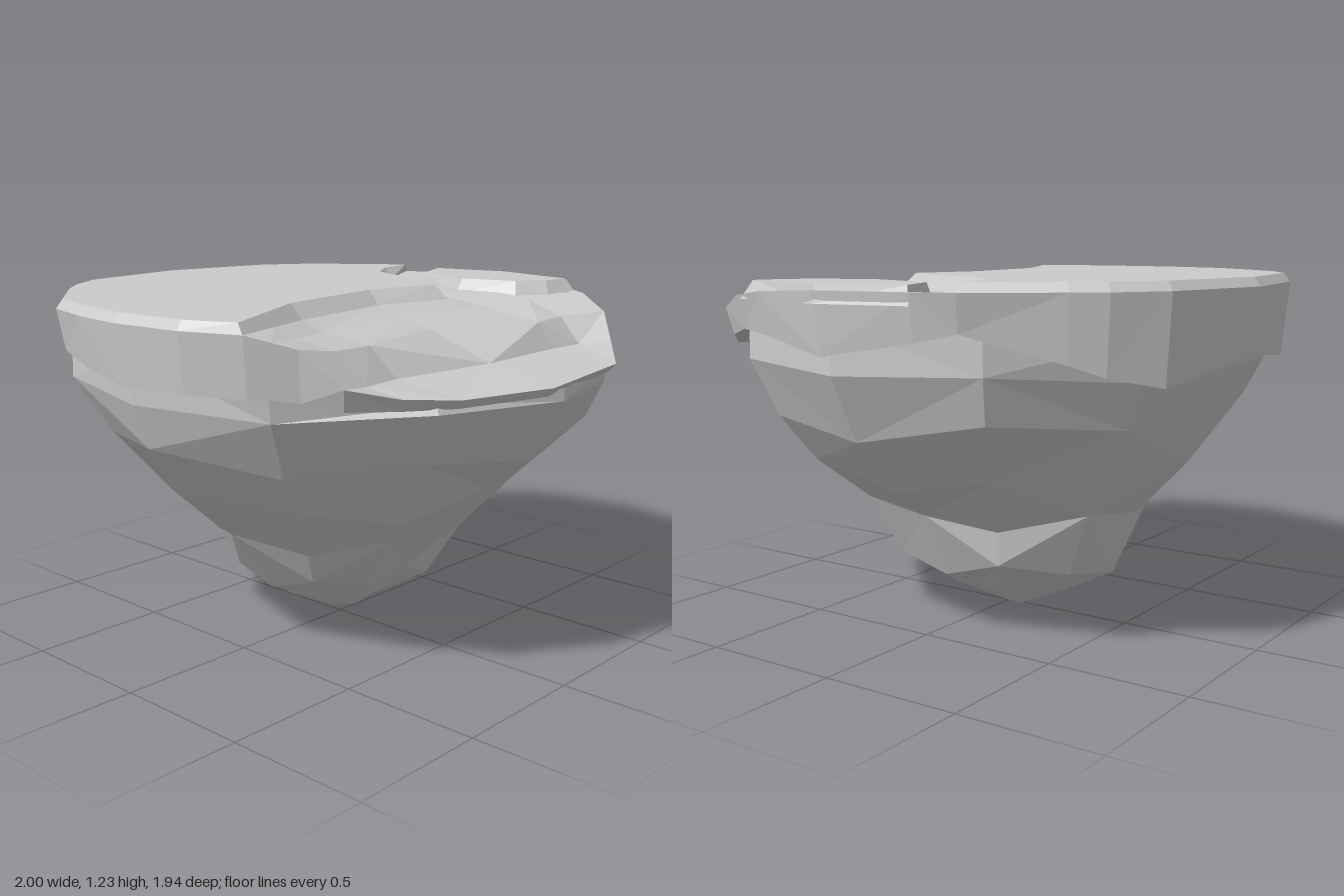
import * as THREE from 'three';

const material = new THREE.MeshStandardMaterial({ color: 0xcccccc, flatShading: true });

function meshFrom(name, triangles) {
  const geometry = new THREE.BufferGeometry();
  geometry.setAttribute('position', new THREE.Float32BufferAttribute(triangles.flat(2), 3));
  geometry.computeVertexNormals();
  const mesh = new THREE.Mesh(geometry, material);
  mesh.name = name;
  return mesh;
}

// Joins successive rows of [x, y, z] points with triangles
function loft(rows, closed) {
  const tris = [];
  for (let r = 0; r < rows.length - 1; r++) {
    const a = rows[r], b = rows[r + 1], n = a.length;
    for (let i = 0; i < (closed ? n : n - 1); i++) {
      const j = (i + 1) % n;
      if ((i + r) % 2) tris.push([a[i], a[j], b[i]], [a[j], b[j], b[i]]);
      else tris.push([a[i], a[j], b[j]], [a[i], b[j], b[i]]);
    }
  }
  return tris;
}

// Fills a level loop with upward faces
function cap(loop) {
  const flat = loop.map(([x, , z]) => new THREE.Vector2(x, z));
  return THREE.ShapeUtils.triangulateShape(flat, []).map(([i, j, k]) => {
    const turn = (flat[j].x - flat[i].x) * (flat[k].y - flat[i].y)
      - (flat[j].y - flat[i].y) * (flat[k].x - flat[i].x);
    return turn > 0 ? [loop[i], loop[k], loop[j]] : [loop[i], loop[j], loop[k]];
  });
}

const level = (points, y) => points.map(([x, z]) => [x, y, z]);
const scaled = (points, s) => points.map(([x, z]) => [x * s, z * s]);

// Outer rim of the low front: x, z, top height, skirt bottom height
const frontRim = [
  [0.94, -0.3, 1.2, 1.05], [1, 0.02, 1.2, 1.0], [0.97, 0.27, 1.19, 1.05],
  [0.9, 0.45, 1.17, 1.06], [0.81, 0.6, 1.12, 1.03], [0.7, 0.7, 1.03, 0.99],
  [0.43, 0.88, 1.0, 0.97], [-0.09, 0.97, 1.0, 0.97], [-0.43, 0.88, 1.0, 0.97],
  [-0.58, 0.78, 1.01, 0.97], [-0.74, 0.7, 1.05, 0.98], [-0.81, 0.59, 1.16, 1.0],
  [-0.86, 0.53, 1.18, 1.01], [-0.91, 0.47, 1.2, 1.01],
];
// Outer rim round the back: x, z, skirt bottom height
const backRim = [
  [-0.98, 0.27, 1.01], [-1, 0, 1.0], [-0.97, -0.22, 1.03], [-0.91, -0.43, 1.06],
  [-0.7, -0.69, 1.0], [-0.6, -0.79, 0.97], [-0.45, -0.89, 0.94], [0, -0.97, 0.98],
  [0.45, -0.89, 0.91], [0.62, -0.78, 0.95], [0.7, -0.69, 0.99], [0.89, -0.43, 1.08],
];
// Foot of the plateau's winding front edge, from -x to +x
const plateauFoot = [[-0.91, 1.2, 0.47], [-0.685, 1.19, 0.365], [-0.46, 1.18, 0.26],
  [0, 1.18, 0.18], [0.32, 1.18, 0.24], [0.44, 1.18, 0.04], [0.51, 1.18, -0.13],
  [0.57, 1.18, -0.26], [0.72, 1.19, -0.36], [0.89, 1.2, -0.43]];

// Plateau with a bevelled border
function plateau() {
  const innerEdge = [[0.7, -0.39], [0.55, -0.29], [0.48, -0.14], [0.42, 0], [0.3, 0.19],
    [0.01, 0.13], [-0.46, 0.21], [-0.675, 0.32], [-0.89, 0.43]];
  const lower = [...plateauFoot.slice(0, -1).reverse(), ...level(backRim, 1.2)];
  const upper = level([...innerEdge, ...scaled(backRim, 0.977)], 1.23);
  return meshFrom('plateau', [...cap(upper), ...loft([upper, lower], true)]);
}

// Lower shelf, bank and beach stepping down to the front
function terrace() {
  const shelfFront = [[-0.86, 1.18, 0.53], [-0.66, 1.16, 0.44], [-0.45, 1.15, 0.34], [0, 1.15, 0.29],
    [0.45, 1.14, 0.34], [0.66, 1.16, 0.36], [0.9, 1.17, 0.45], [0.97, 1.19, 0.27],
    [1, 1.2, 0.02], [0.94, 1.2, -0.3]];
  const bankTop = [[-0.81, 1.16, 0.59], [-0.62, 1.13, 0.55], [-0.42, 1.12, 0.51], [0, 1.12, 0.41],
    [0.45, 1.11, 0.55], [0.64, 1.11, 0.52], [0.81, 1.12, 0.6]];
  const bankFoot = [[-0.74, 1.05, 0.7], [-0.58, 1.03, 0.64], [-0.38, 1.02, 0.59], [0.05, 1.02, 0.63],
    [0.45, 1.02, 0.61], [0.62, 1.02, 0.615], [0.7, 1.03, 0.7]];
  const beach = [[-0.58, 1.01, 0.78], [-0.505, 1.005, 0.83], [-0.43, 1, 0.88], [-0.09, 1, 0.97],
    [0.43, 1, 0.88], [0.52, 1.01, 0.82], [0.61, 1.02, 0.76]];
  return meshFrom('terrace', [
    ...loft([shelfFront, plateauFoot], false),
    ...loft([beach, bankFoot, bankTop, shelfFront.slice(0, 7)], false),
  ]);
}

// Small raised patch on the left shelf
function patch() {
  const top = level([[0.92, -0.28], [0.985, 0.02], [0.9, 0.37], [0.79, 0.35],
    [0.69, 0.28], [0.63, 0.07], [0.73, -0.2]], 1.22);
  const foot = level([[0.94, -0.3], [1, 0.02], [0.92, 0.41], [0.77, 0.38],
    [0.66, 0.3], [0.6, 0.06], [0.71, -0.21]], 1.16);
  return meshFrom('raisedPatch', [...cap(top), ...loft([top, foot], true)]);
}

// Skirt under the rim, ending in a narrow ledge over the rock
function skirt() {
  const rim = [...frontRim, ...backRim.map(([x, z, y]) => [x, z, 1.2, y])];
  const ring = (s, h) => rim.map((p) => [p[0] * s, p[h], p[1] * s]);
  return meshFrom('skirt', loft([ring(1, 2), ring(0.975, 3), ring(0.89, 3)], true));
}

// Craggy underside: each ring holds height and radii, turning from +x towards +z
function rock() {
  const rings = [
    [0.94, [0.95, 0.94, 0.95, 0.95, 0.95, 0.93, 0.94, 0.94, 0.93, 0.91, 0.93, 0.93]],
    [0.76, [0.87, 0.86, 0.85, 0.85, 0.83, 0.82, 0.86, 0.83, 0.82, 0.82, 0.84, 0.85]],
    [0.57, [0.69, 0.71, 0.64, 0.64, 0.7, 0.67, 0.7, 0.66, 0.67, 0.7, 0.7, 0.68]],
    [0.41, [0.49, 0.51, 0.48, 0.47, 0.54, 0.52, 0.53, 0.49, 0.51, 0.54, 0.57, 0.51]],
    [0.22, [0.41, 0.41, 0.36, 0.29, 0.35, 0.39, 0.38, 0.38, 0.42, 0.48, 0.48, 0.44]],
    [0.1, [0.2, 0.2, 0.18, 0.16, 0.18, 0.18, 0.16, 0.2, 0.25, 0.27, 0.27, 0.23]],
  ];
  const lift = [0, 0.04, -0.03, 0.01, 0.04, -0.04, 0, 0.04, -0.03, 0.02, -0.04, 0.03];
  const at = (i, r, y) => [r * Math.cos((i * Math.PI) / 6), y, r * Math.sin((i * Math.PI) / 6)];
  // Top edge tucked inside the skirt, lower beneath the beach
  const topEdge = [1.1, 1.07, 0.985, 0.985, 0.985, 1.06, 1.1, 1.1, 1.08, 1.06, 1.06, 1.12];
  const loops = [topEdge.map((y, i) => at(i, 0.95, y)),
    ...rings.map(([y, radii], k) => radii.map((r, i) => {
      const d = lift[(i + k * 5) % 12] * (k === 0 || k === 5 ? 0.4 : 1);
      return at(i, r + d * 0.8, y + d);
    }))];
  const last = loops[loops.length - 1], tip = [0.02, 0, -0.06];
  const point = last.map((p, i) => [p, last[(i + 1) % last.length], tip]);
  return meshFrom('rock', [...loft(loops, true), ...point]);
}

export function createModel() {
  const island = new THREE.Group();
  island.name = 'floatingIsland';
  island.add(plateau(), terrace(), patch(), skirt(), rock());
  return island;
}
